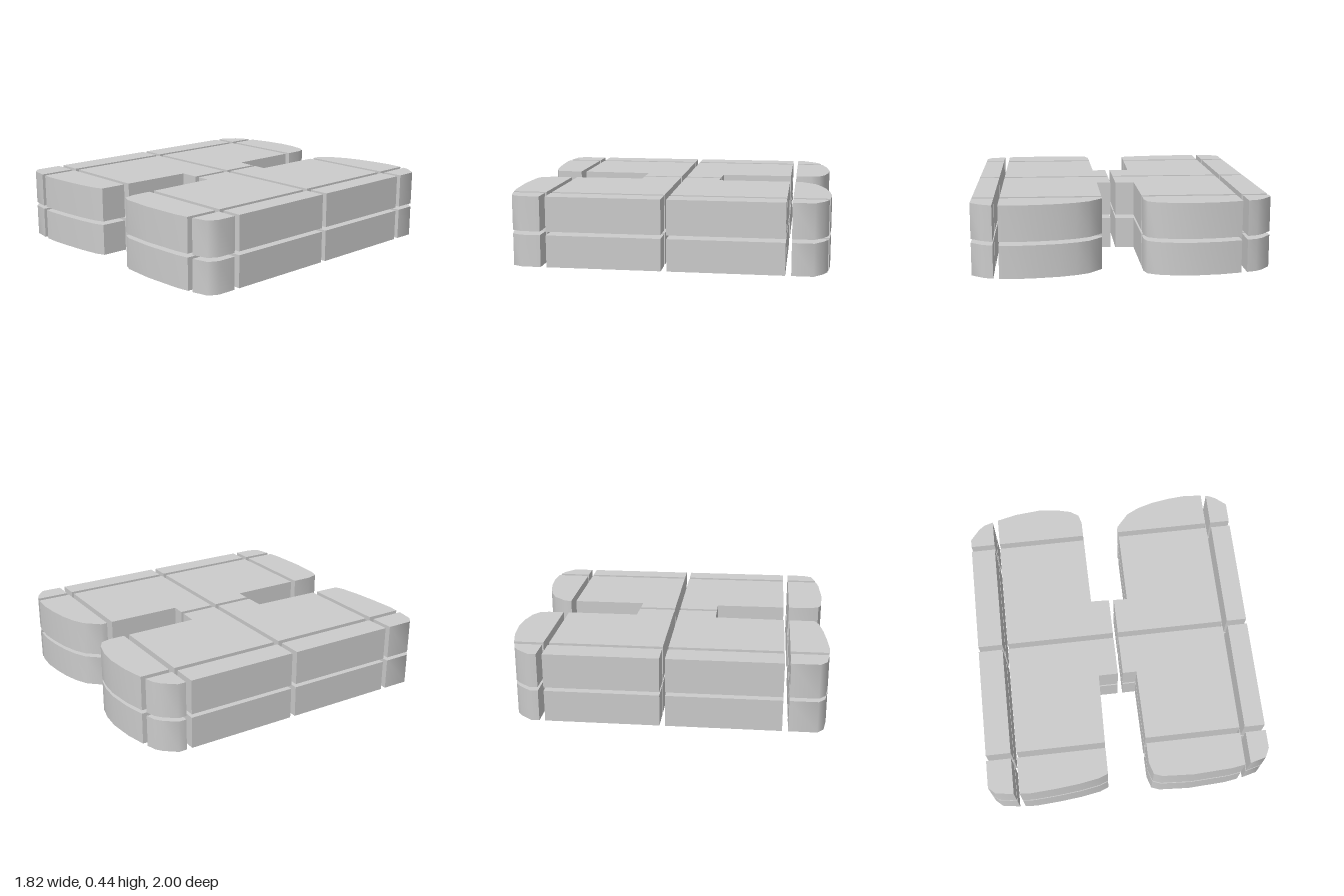
import * as THREE from 'three';
import { toCreasedNormals } from 'three/addons/utils/BufferGeometryUtils.js';

// H-shaped plan outline as [x, z], with four rounded lobe ends
const OUTLINE = [
  // back end of the left lobe
  [0.12, -0.255], [0.12, -0.81], [0.2, -0.9], [0.28, -0.94], [0.38, -0.97], [0.5, -0.99], [0.62, -1],
  [0.74, -0.99], [0.79, -0.98], [0.84, -0.955], [0.905, -0.9],
  // front end of the left lobe
  [0.905, 0.88], [0.875, 0.94], [0.775, 0.965], [0.65, 0.985], [0.4, 0.997], [0.2, 0.985],
  [0.148, 0.965], [0.125, 0.89], [0.12, 0.27],
  // front end of the right lobe
  [-0.13, 0.27], [-0.14, 0.73], [-0.143, 0.93], [-0.2, 0.953], [-0.33, 0.975], [-0.48, 0.99], [-0.64, 1],
  [-0.75, 0.993], [-0.865, 0.975], [-0.91, 0.935],
  // back end of the right lobe
  [-0.91, -0.82], [-0.85, -0.895], [-0.81, -0.925], [-0.71, -0.955], [-0.58, -0.985], [-0.42, -1],
  [-0.3, -0.99], [-0.2, -0.965], [-0.145, -0.93], [-0.128, -0.87], [-0.125, -0.265],
];

// Column, row and layer spans; the spaces between them are the grooves
const COLUMNS = [[-0.91, -0.75], [-0.713, -0.003], [0.03, 0.738], [0.773, 0.905]];
const ROWS = [[-1, -0.768], [-0.732, -0.02], [0.015, 0.725], [0.761, 1]];
const LAYERS = [[0, 0.2], [0.223, 0.44]];

// Keep the part of a polygon on one side of an axis-aligned line
function clip(points, axis, limit, sign) {
  const result = [];
  points.forEach((a, i) => {
    const b = points[(i + 1) % points.length];
    const da = sign * (a[axis] - limit);
    const db = sign * (b[axis] - limit);
    if (da >= 0) result.push(a);
    if (da * db < 0) {
      const t = da / (da - db);
      result.push([a[0] + (b[0] - a[0]) * t, a[1] + (b[1] - a[1]) * t]);
    }
  });
  return result;
}

// Cut one cell out of the outline (columns first, so each cell stays in one piece)
function cellOutline([x0, x1], [z0, z1]) {
  let points = clip(OUTLINE, 0, x0, 1);
  points = clip(points, 0, x1, -1);
  points = clip(points, 1, z0, 1);
  return clip(points, 1, z1, -1);
}

function block(points, [bottom, top]) {
  const shape = new THREE.Shape(points.map(([x, z]) => new THREE.Vector2(x, z)));
  const geometry = new THREE.ExtrudeGeometry(shape, { depth: top - bottom, bevelEnabled: false });
  geometry.rotateX(Math.PI / 2).translate(0, top, 0);
  return toCreasedNormals(geometry, THREE.MathUtils.degToRad(50));
}

export function createModel() {
  const model = new THREE.Group();
  model.name = 'slicedBlock';
  const material = new THREE.MeshStandardMaterial({ color: 0xcccccc });
  const columnNames = ['RightEdge', 'RightInner', 'LeftInner', 'LeftEdge'];
  const rowNames = ['Back', 'MidBack', 'MidFront', 'Front'];

  LAYERS.forEach((layer, l) => {
    const group = new THREE.Group();
    group.name = l === 0 ? 'lowerLayer' : 'upperLayer';
    COLUMNS.forEach((column, c) => ROWS.forEach((row, r) => {
      const mesh = new THREE.Mesh(block(cellOutline(column, row), layer), material);
      mesh.name = `block${rowNames[r]}${columnNames[c]}`;
      group.add(mesh);
    }));
    model.add(group);
  });
  return model;
}
